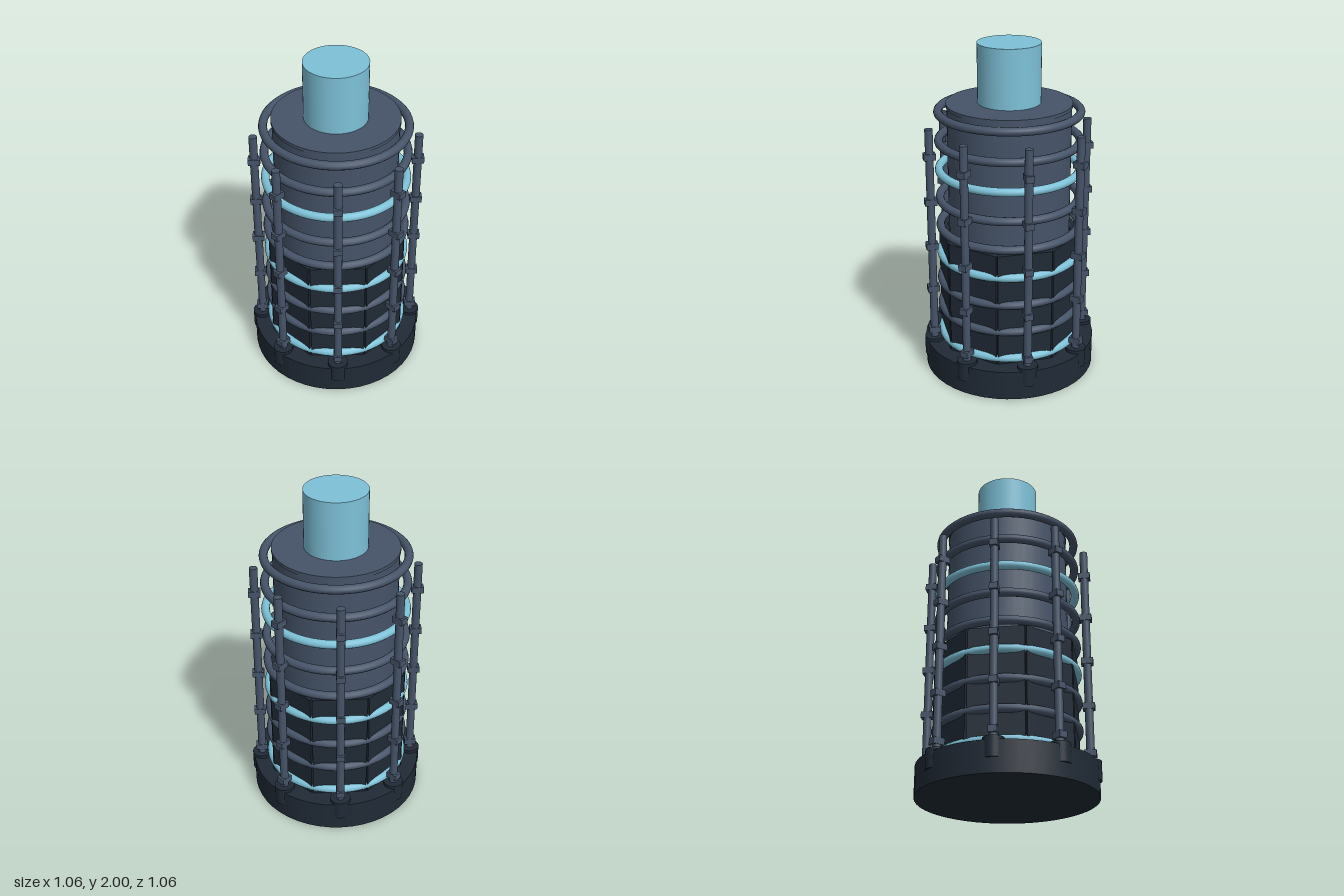
import * as THREE from 'three';

const slate = new THREE.MeshStandardMaterial({ color: 0x465469 });
const dark = new THREE.MeshStandardMaterial({ color: 0x202a36 });
const cyan = new THREE.MeshStandardMaterial({ color: 0x7ec1d8 });

function add(parent, name, geometry, material, x = 0, y = 0, z = 0) {
  const mesh = new THREE.Mesh(geometry, material);
  mesh.name = name;
  mesh.position.set(x, y, z);
  parent.add(mesh);
  return mesh;
}

// Upright cylinder between two heights
function column(parent, name, radius, y0, y1, material, segments = 48, z = 0) {
  const geometry = new THREE.CylinderGeometry(radius, radius, y1 - y0, segments);
  return add(parent, name, geometry, material, 0, (y0 + y1) / 2, z);
}

export function createModel() {
  const model = new THREE.Group();
  model.name = 'cagedCylinder';

  // Base, inner body, lid and central piston
  column(model, 'base', 0.518, 0, 0.18, dark);
  column(model, 'lowerCore', 0.358, 0.18, 0.87, dark);
  column(model, 'body', 0.36, 0.87, 1.635, slate);
  column(model, 'lid', 0.365, 1.635, 1.655, slate);
  column(model, 'piston', 0.183, 1.655, 2, cyan);

  // Coil rings, every third one bright
  const ringGeometry = new THREE.TorusGeometry(0.41, 0.025, 12, 64).rotateX(Math.PI / 2);
  for (let i = 0; i < 9; i++) {
    add(model, 'coilRing', ringGeometry, i % 3 === 0 ? cyan : slate, 0, 0.215 + i * 0.1738, 0);
  }

  // Eight sectors: a flat armour panel, and a rod with its foot and clamps
  const panelGeometry = new THREE.BoxGeometry(0.32, 0.695, 0.05);
  const clampGeometry = new THREE.BoxGeometry(0.05, 0.038, 0.07);
  for (let i = 0; i < 8; i++) {
    const sector = new THREE.Group();
    sector.name = 'sector';
    sector.rotation.y = (i * Math.PI) / 4;
    model.add(sector);
    add(sector, 'panel', panelGeometry, dark, 0, 0.5275, 0.375);
    column(sector, 'rodFoot', 0.06, 0.085, 0.2, dark, 24, 0.47);
    column(sector, 'rod', 0.024, 0.18, 1.525, slate, 16, 0.47);
    for (let k = 0; k < 5; k++) {
      add(sector, 'clamp', clampGeometry, slate, 0, 0.245 + k * 0.279, 0.47);
    }
  }
  return model;
}
